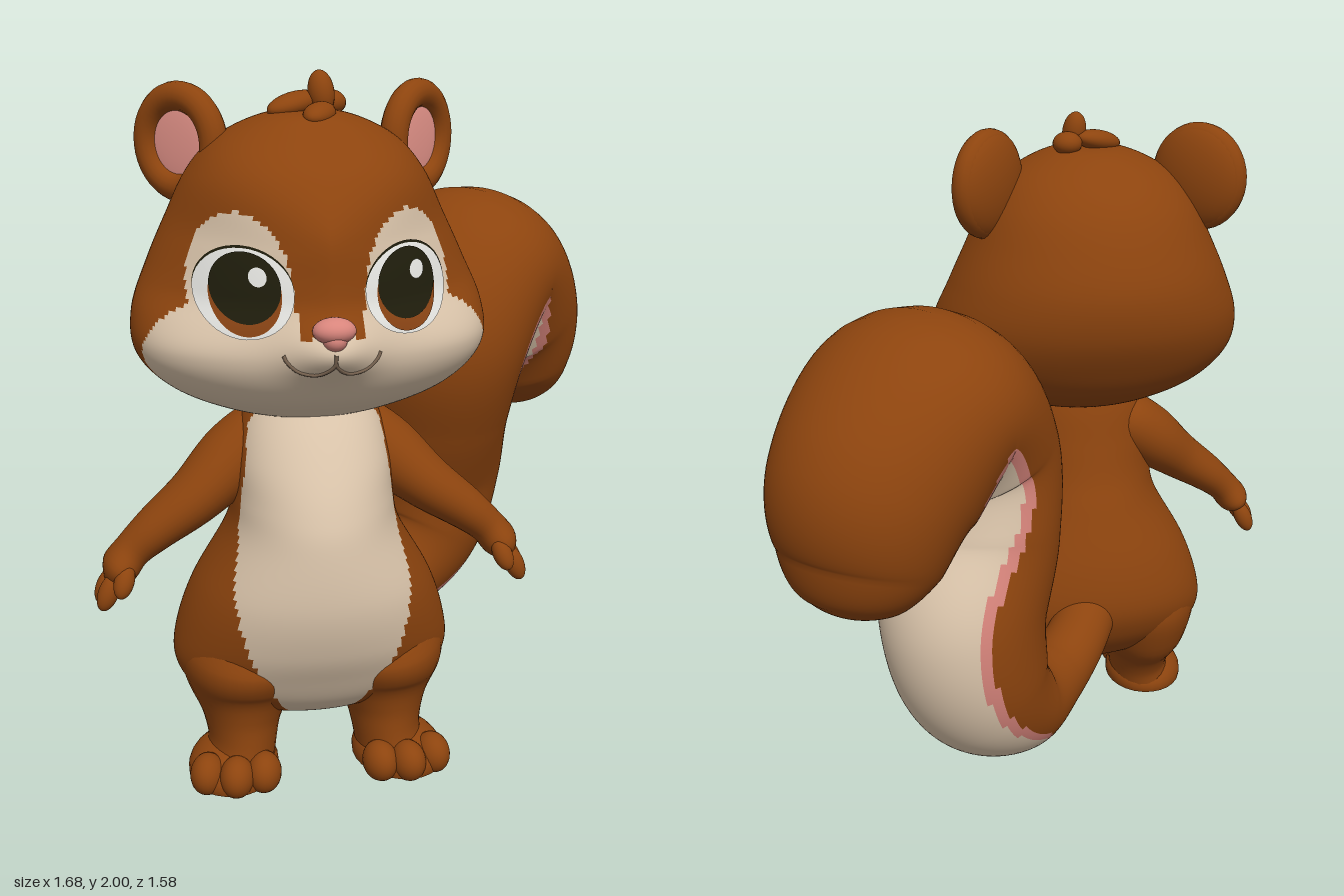
import * as THREE from 'three';

const mat = (name, color, side = THREE.FrontSide) => {
  const m = new THREE.MeshStandardMaterial({ color, side });
  m.name = name;
  return m;
};
const { smoothstep, lerp } = THREE.MathUtils;

export function createModel() {
  const fur = mat('brown fur', 0x8d440e), cream = mat('cream fur', 0xdcc6ac);
  const pink = mat('pink skin', 0xd8857c), earPink = mat('ear pink', 0xe8968c);
  const white = mat('eye white', 0xe8e8e4), dark = mat('dark pupil', 0x1f1d0c);
  const amber = mat('amber iris', 0x8a4414), line = mat('mouth line', 0x7a6552);

  const model = new THREE.Group();
  const figure = new THREE.Group();
  figure.name = 'figure';
  figure.position.x = -0.22;
  model.add(figure);

  const add = (name, geo, material, parent = figure) => {
    const mesh = new THREE.Mesh(geo, material);
    mesh.name = name;
    parent.add(mesh);
  };

  // Smooth skin, closed around v; pick() chooses the material of each small face
  const skin = (nu, nv, point, mats, pick = () => 0) => {
    const pos = [], buckets = mats.map(() => []);
    for (let i = 0; i <= nu; i++)
      for (let j = 0; j < nv; j++) pos.push(...point(i / nu, j / nv).toArray());
    for (let i = 0; i < nu; i++) for (let j = 0; j < nv; j++) {
      const k = (j + 1) % nv, a = i * nv + j, b = a + nv, c = (i + 1) * nv + k, d = i * nv + k;
      const u = (i + 0.5) / nu, v = (j + 0.5) / nv;
      buckets[pick(point(u, v), u, v)].push(a, b, c, a, c, d);
    }
    const geo = new THREE.BufferGeometry();
    geo.setAttribute('position', new THREE.Float32BufferAttribute(pos, 3));
    geo.setIndex(buckets.flat());
    let start = 0;
    buckets.forEach((b, i) => { geo.addGroup(start, b.length, i); start += b.length; });
    geo.computeVertexNormals();
    return geo;
  };

  const spline = pts => new THREE.CatmullRomCurve3(pts.map(p => new THREE.Vector3(...p)), false, 'catmullrom');

  // Stack of level sections: rows are [y, halfWidth, zWidest, zBack, zFront]
  const stack = (rows, bulge) => {
    const A = spline(rows.map(r => [r[1], r[0], r[4]])), B = spline(rows.map(r => [r[2], r[0], r[3]]));
    return (u, v) => {
      const a = A.getPoint(u), b = B.getPoint(u), s = Math.sin(v * 2 * Math.PI), c = Math.cos(v * 2 * Math.PI);
      const z = c > 0 ? b.x + (a.z - b.x) * bulge(Math.abs(s), a.y) : b.x - (b.z - b.x) * c;
      return new THREE.Vector3(a.x * s, a.y, z);
    };
  };

  // Sweep along nodes [x, y, z, radiusAcross, radiusAlongSide]
  const sweep = (nodes, side) => {
    const path = spline(nodes.map(n => n.slice(0, 3))), rad = spline(nodes.map(n => [n[3], n[4], 0]));
    return (u, v) => {
      const T = path.getTangent(u), L = new THREE.Vector3(...side);
      L.addScaledVector(T, -T.dot(L)).normalize();
      const N = T.clone().cross(L), r = rad.getPoint(u), a = v * 2 * Math.PI;
      return path.getPoint(u).addScaledVector(N, r.x * Math.cos(a)).addScaledVector(L, r.y * Math.sin(a));
    };
  };

  // Ellipsoid, never reaching below the ground
  const blob = (name, material, p, r, rot = [0, 0, 0]) => {
    const geo = new THREE.SphereGeometry(1, 26, 18).scale(...r);
    geo.applyMatrix4(new THREE.Matrix4().makeRotationFromEuler(new THREE.Euler(...rot))).translate(...p);
    const q = geo.attributes.position;
    for (let i = 0; i < q.count; i++) if (q.getY(i) < 0) q.setY(i, 0);
    add(name, geo, material);
  };

  // Head: full cheeks, flatter around the eyes, soft muzzle
  const headRows = [
    [1.9, 0, .3, .3, .3], [1.89, .12, .3, .18, .42], [1.83, .245, .29, .06, .51], [1.74, .325, .28, -.03, .61],
    [1.62, .385, .28, -.09, .685], [1.5, .44, .29, -.12, .7], [1.38, .485, .32, -.105, .7], [1.27, .48, .34, -.05, .69],
    [1.18, .4, .34, .02, .63], [1.115, .27, .33, .12, .53], [1.078, .13, .32, .22, .43], [1.07, 0, .32, .32, .32]];
  const faceBulge = (u, y) => {
    const e = smoothstep(y, 1.3, 1.46) * (1 - smoothstep(y, 1.58, 1.8));
    return Math.pow(Math.max(0, 1 - Math.pow(u, lerp(2.2, 1.4, e))), lerp(.5, .61, e));
  };
  const headBase = stack(headRows, faceBulge);
  const muzzle = (x, y) => .068 * Math.exp(-((x / .105) ** 2) - ((y - 1.33) / .072) ** 2);
  const headPoint = (u, v) => {
    const p = headBase(u, v);
    if (p.z > .4) p.z += muzzle(p.x, p.y);
    return p;
  };
  add('head', skin(120, 220, headPoint, [fur, cream], p => {
    const x = Math.abs(p.x), y = p.y;
    if (p.z < .35) return 0;
    const patch = ((x - .222) / .127) ** 2 + ((y - 1.48) / .187) ** 2 < 1;
    const cheek = p.z > .43 + Math.max(0, y - 1.25) * .45 && y < 1.43 - Math.max(0, x - .33) * .3 && (x > .08 || y < 1.385 - .3 * x);
    return patch || cheek ? 1 : 0;
  }), [fur, cream]);

  // Depth of the face surface at x, y
  const faceZ = (x, y) => {
    let lo = 0, hi = 1;
    for (let i = 0; i < 24; i++) {
      const m = (lo + hi) / 2;
      if (headBase(m, 0).y > y) lo = m; else hi = m;
    }
    const f = headBase(lo, 0), w = headBase(lo, 0.249999);
    return w.z + (f.z - w.z) * faceBulge(Math.min(1, Math.abs(x) / w.x), y) + muzzle(x, y);
  };

  // Eyes: thin domed layers lying on the face
  const EY = 1.47;
  for (const s of [1, -1]) {
    const layer = (name, material, n, cx, cy, rx, ry) => {
      const geo = new THREE.RingGeometry(0, 1, 40, 8), q = geo.attributes.position;
      for (let i = 0; i < q.count; i++) {
        const x = cx + rx * q.getX(i), y = cy + ry * q.getY(i);
        const d = ((x - s * .213) / .122) ** 2 + ((y - EY) / .112) ** 2;
        q.setXYZ(i, x, y, faceZ(x, y) + .003 * n + .014 * Math.max(0, 1 - d));
      }
      geo.computeVertexNormals();
      add(name, geo, material);
    };
    layer('eyeRim', dark, 1, s * .213, EY + .006, .122, .111);
    layer('eyeWhite', white, 2, s * .213, EY, .122, .111);
    layer('iris', amber, 3, s * .21, EY - .003, .088, .1);
    layer('pupil', dark, 4, s * .21, EY + .016, .086, .088);
    layer('eyeGlint', white, 5, s * .21 + .03, EY + .045, .022, .024);
  }

  // Nose and smile
  blob('nose', pink, [0, 1.39, .737], [.056, .034, .045]);
  blob('noseTip', pink, [0, 1.367, .742], [.032, .03, .038]);
  for (const s of [1, -1]) {
    const smile = [[0, 1.335], [.004, 1.3], [.04, 1.274], [.085, 1.28], [.115, 1.305], [.125, 1.325]];
    add('smile', new THREE.TubeGeometry(spline(smile.map(([x, y]) => [s * x, y, faceZ(x, y) + .001])), 32, .005, 8), line);
  }

  // Ears turned outwards: rim, rounded back and pink inside
  for (const s of [1, -1]) {
    const ear = new THREE.Group();
    ear.name = s > 0 ? 'leftEar' : 'rightEar';
    ear.position.set(s * .33, 1.81, .2);
    ear.rotation.set(0, s * .8, -s * .08);
    ear.scale.set(1, 1.04, 1);
    figure.add(ear);
    add('earRim', new THREE.TorusGeometry(.119, .039, 16, 40), fur, ear);
    add('earBack', new THREE.SphereGeometry(.157, 36, 12, 0, Math.PI * 2, 0, Math.PI / 2).rotateX(-Math.PI / 2).scale(1, 1, .46), fur, ear);
    add('earInside', new THREE.SphereGeometry(.11, 28, 14).scale(1, 1, .12).translate(0, 0, .004), earPink, ear);
  }

  // Hair tuft
  blob('tuft', fur, [.045, 1.945, .29], [.036, .06, .04], [-.2, 0, .1]);
  blob('tuft', fur, [-.03, 1.915, .29], [.085, .032, .045], [0, .5, .2]);
  blob('tuft', fur, [.025, 1.895, .38], [.04, .03, .07], [.15, -.5, 0]);
  blob('tuft', fur, [.075, 1.915, .25], [.045, .035, .045]);

  // Body with cream belly
  const bodyRows = [
    [1.2, 0, .33, .33, .33], [1.17, .13, .33, .22, .43], [1.08, .19, .33, .18, .5], [.96, .22, .35, .15, .57],
    [.85, .228, .35, .12, .62], [.75, .25, .34, .08, .645], [.58, .345, .32, .02, .652], [.44, .393, .3, 0, .62],
    [.34, .4, .3, .03, .57], [.26, .35, .31, .09, .52], [.205, .24, .32, .16, .46], [.185, .12, .32, .24, .4], [.18, 0, .32, .32, .32]];
  const body = stack(bodyRows, u => Math.sqrt(Math.max(0, 1 - u * u)));
  add('body', skin(90, 140, body, [fur, cream], p => {
    const y = p.y, w = y > .62 ? .245 - .135 * (y - .62) : .245 - .19 * ((.62 - y) / .45) ** 2;
    return p.z > (y < .3 ? .2 : .4) && Math.abs(p.x) < w ? 1 : 0;
  }), [fur, cream]);

  for (const s of [1, -1]) {
    // Arms, hands and fingers
    const arm = [[.06, 1.06, .3, 0, 0], [.11, 1.02, .3, .085, .1], [.21, .945, .31, .1, .115], [.33, .845, .35, .08, .1],
      [.44, .765, .365, .064, .08], [.51, .705, .37, .053, .064], [.555, .65, .375, .05, .08], [.59, .605, .375, 0, 0]];
    add('arm', skin(36, 28, sweep(arm.map(([x, ...r]) => [s * x, ...r]), [0, 0, 1]), [fur]), [fur]);
    for (const [x, y, z, t] of [[.572, .605, .315, .2], [.588, .6, .366, 0], [.583, .6, .417, -.15]])
      blob('finger', fur, [s * x, y, z], [.029, .056, .029], [t, 0, s * .4]);
    blob('thumb', fur, [s * .54, .64, .447], [.028, .05, .028], [-.5, 0, s * .3]);

    // Legs, feet and toes
    const leg = [[.17, .54, .32, .06, .12], [.19, .46, .32, .14, .21], [.203, .36, .315, .182, .25], [.208, .26, .32, .162, .22],
      [.212, .17, .34, .117, .165], [.215, .1, .355, .1, .145], [.225, .03, .365, .1, .145]];
    add('leg', skin(32, 36, sweep(leg.map(([x, ...r]) => [s * x, ...r]), [0, 0, 1]), [fur]), [fur]);
    blob('foot', fur, [s * .245, .02, .385], [.132, .09, .172], [0, s * .15, 0]);
    for (const [x, z] of [[.17, .5], [.25, .515], [.33, .48]])
      blob('toe', fur, [s * x, .045, z], [.05, .06, .064], [0, s * .2, 0]);
  }

  // Tail: rises in an S and curls outwards, cream along the inside of the curl
  const tailNodes = [
    [-.2, .43, .12, .1, .1], [-.12, .37, -.02, .095, .1], [-.01, .32, -.15, .11, .115], [.13, .325, -.27, .16, .175],
    [.25, .45, -.355, .215, .22], [.295, .66, -.37, .245, .24], [.265, .9, -.285, .24, .28], [.285, 1.14, -.245, .265, .31],
    [.405, 1.325, -.37, .265, .33], [.55, 1.15, -.51, .28, .295], [.6, .96, -.555, .2, .24], [.615, .85, -.57, .12, .15], [.62, .8, -.575, 0, 0]];
  const tail = [fur, cream, pink];
  add('tail', skin(150, 90, sweep(tailNodes, [Math.SQRT1_2, 0, Math.SQRT1_2]), tail, (p, u, v) => {
    const angle = Math.min(v, 1 - v) * 360;
    const edge = 64 - 12 * smoothstep(u, .27, .4) + 20 * smoothstep(u, .42, .56);
    const taper = smoothstep(u, .16, .26) * (1 - smoothstep(u, .66, .95));
    if (angle < edge * taper - 4) return 1;
    return angle < edge * taper + 5 && taper > .05 ? 2 : 0;
  }), tail, model);

  return model;
}
